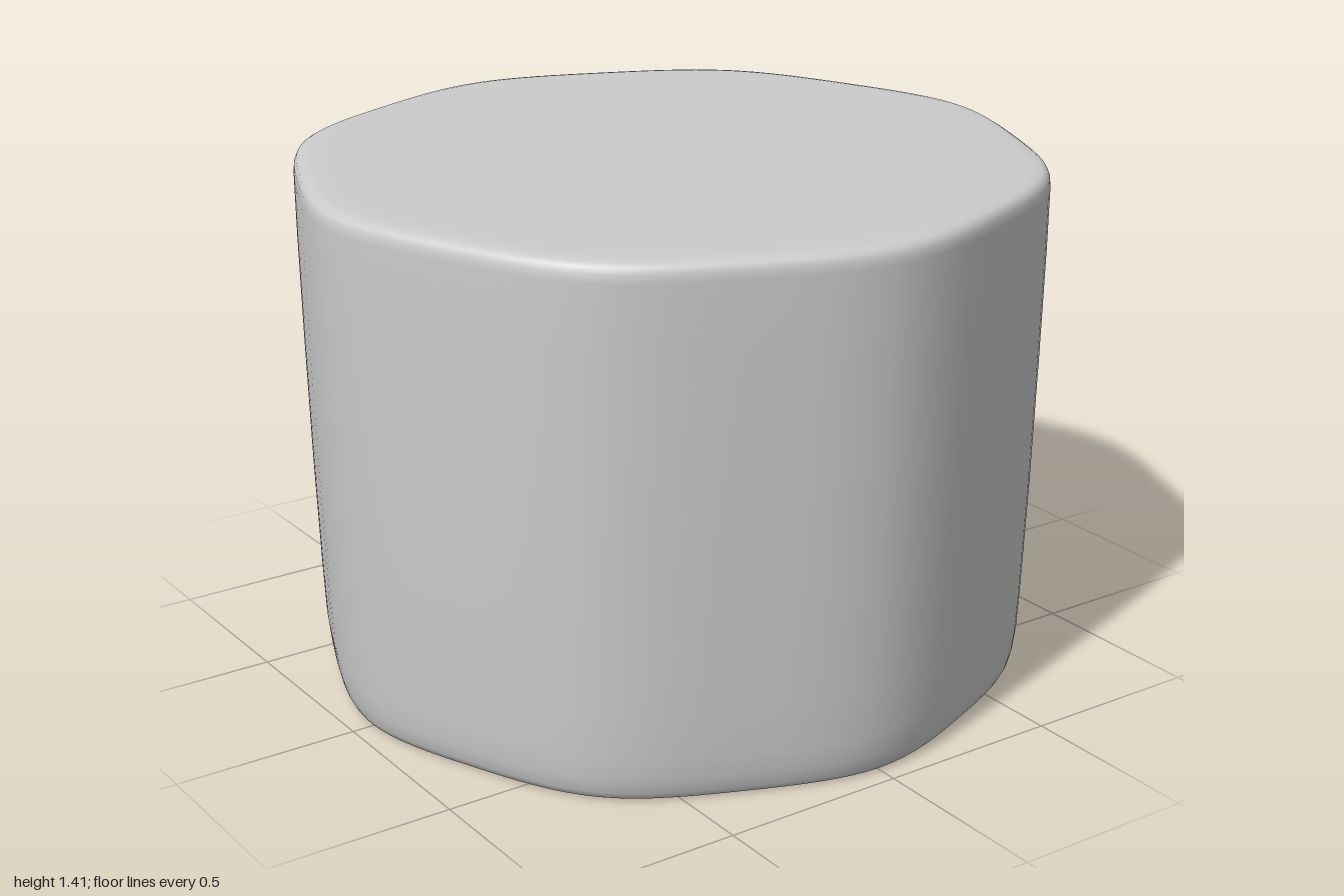
import * as THREE from 'three';
import { mergeVertices } from 'three/addons/utils/BufferGeometryUtils.js';

const SECTOR = Math.PI / 4;
const SEGMENTS = 128;

// Soft octagon: cubic spline through the corners and side middles of an octagon,
// scaled so the eight soft corners lie on the unit circle
function softOctagon(t) {
  const control = (k) => {
    const r = k % 2 ? Math.cos(SECTOR / 2) : 1;
    return new THREE.Vector2(Math.cos(k * SECTOR / 2), Math.sin(k * SECTOR / 2)).multiplyScalar(r);
  };
  const k = Math.floor(t * 16);
  const u = t * 16 - k;
  const weights = [(1 - u) ** 3, 3 * u ** 3 - 6 * u * u + 4, -3 * u ** 3 + 3 * u * u + 3 * u + 1, u ** 3];
  const point = new THREE.Vector2();
  weights.forEach((w, i) => point.addScaledVector(control(k + i + 15), w / 6));
  return point.divideScalar((2 + Math.cos(SECTOR / 2) ** 2) / 3);
}

// Revolve a profile, replacing each circular ring by the soft octagon
function octagonalLathe(profile) {
  const geometry = new THREE.LatheGeometry(profile.map(([r, y]) => new THREE.Vector2(r, y)), SEGMENTS);
  const p = geometry.attributes.position;
  for (let i = 0; i < p.count; i++) {
    const step = Math.floor(i / profile.length) % SEGMENTS;
    const radius = profile[i % profile.length][0];
    const outline = softOctagon(step / SEGMENTS);
    p.setX(i, outline.y * radius);
    p.setZ(i, outline.x * radius);
  }
  geometry.deleteAttribute('uv');
  geometry.deleteAttribute('normal');
  const merged = mergeVertices(geometry, 1e-5);
  merged.computeVertexNormals();
  return merged;
}

export function createModel() {
  const group = new THREE.Group();
  group.name = 'cap';
  const material = new THREE.MeshStandardMaterial({ color: 0xcccccc, side: THREE.DoubleSide });

  const profile = [
    // inner ceiling and wall, going down
    [0, 1.39], [0.9, 1.39], [0.95, 1.387], [0.972, 1.375], [0.98, 1.34],
    [0.978, 1.1], [0.971, 0.7], [0.961, 0.35], [0.953, 0.15], [0.946, 0.06], [0.936, 0.025],
    // inturned lip
    [0.92, 0.012], [0.916, 0.006], [0.92, 0.001], [0.932, 0], [0.944, 0.006], [0.954, 0.024], [0.963, 0.06],
    // outer wall, flaring gently upward
    [0.97, 0.12], [0.976, 0.25], [0.986, 0.55], [0.994, 0.9], [0.999, 1.2], [1, 1.36],
    // rounded top edge and flat top
    [0.998, 1.382], [0.991, 1.397], [0.978, 1.405], [0.955, 1.409], [0.92, 1.41], [0.85, 1.41], [0, 1.41],
  ];
  const shell = new THREE.Mesh(octagonalLathe(profile), material);
  shell.name = 'capShell';
  group.add(shell);
  return group;
}
